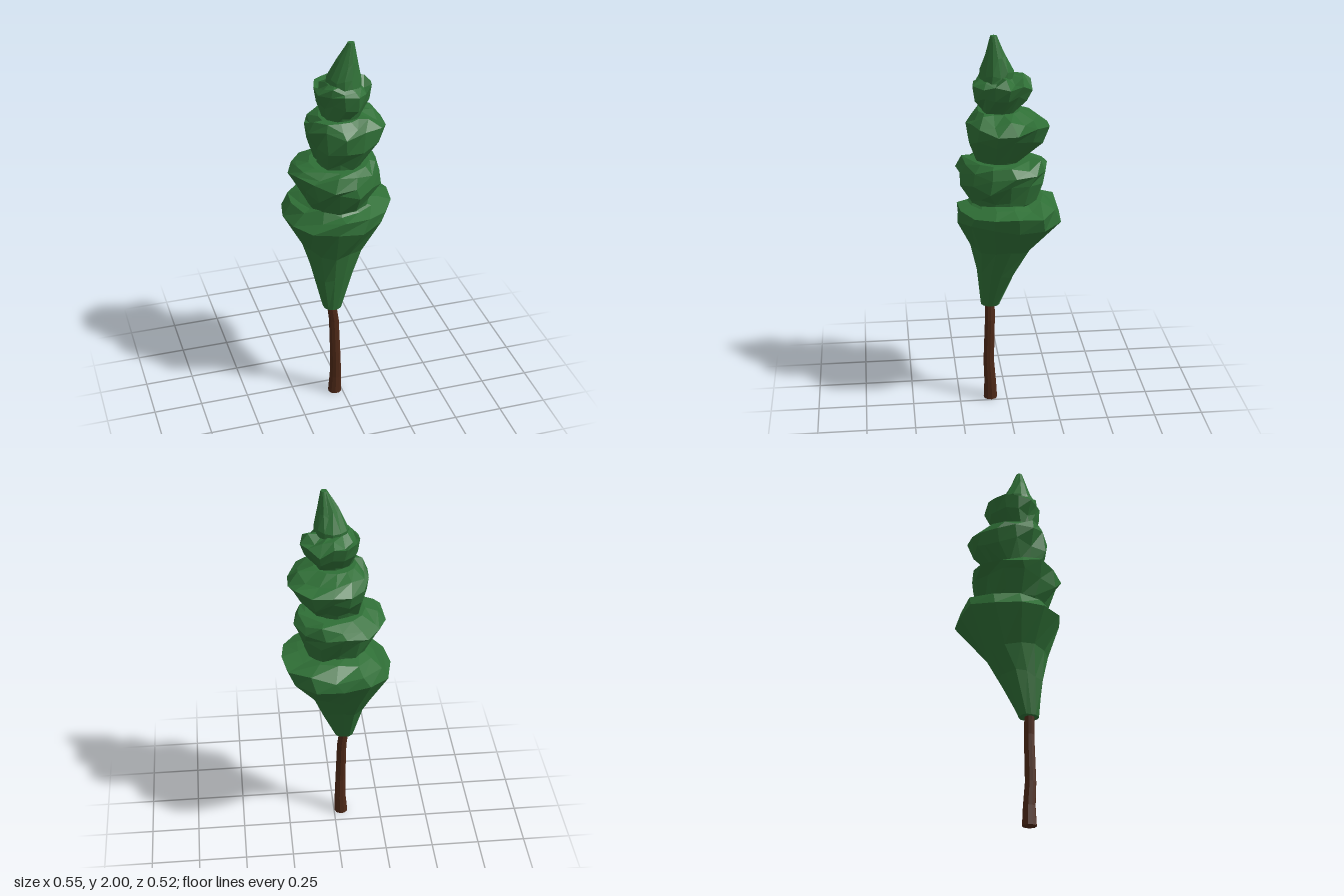
import * as THREE from 'three';

const leafMat = new THREE.MeshStandardMaterial({ color: 0x2f6f36, flatShading: true });
const barkMat = new THREE.MeshStandardMaterial({ color: 0x4d2817, flatShading: true });

// Seeded random numbers in -1..1
function seeded(seed) {
  let s = seed;
  return () => {
    s = (s * 16807) % 2147483647;
    return (s / 2147483647) * 2 - 1;
  };
}

// Skin stacked rings of equal point count and close both ends
function skin(rings) {
  const n = rings[0].length, pos = rings.flat(2), idx = [];
  for (let r = 0; r < rings.length - 1; r++) {
    for (let i = 0; i < n; i++) {
      const a = r * n + i, b = r * n + (i + 1) % n;
      idx.push(a, a + n, b, b, a + n, b + n);
    }
  }
  const cap = (ring, first, up) => {
    const c = pos.length / 3;
    pos.push(...[0, 1, 2].map(k => ring.reduce((s, p) => s + p[k], 0) / n));
    for (let i = 0; i < n; i++) {
      const a = first + i, b = first + (i + 1) % n;
      idx.push(c, up ? b : a, up ? a : b);
    }
  };
  cap(rings[0], 0, false);
  cap(rings[rings.length - 1], (rings.length - 1) * n, true);
  const g = new THREE.BufferGeometry();
  g.setAttribute('position', new THREE.Float32BufferAttribute(pos, 3));
  g.setIndex(idx);
  g.computeVertexNormals();
  return g;
}

// Plain ring of n points around (x, z)
function ring([y, x, z, r], n) {
  return Array.from({ length: n }, (_, i) => {
    const a = (i / n) * Math.PI * 2 - 0.15;
    return [x + r * Math.cos(a), y, z + r * Math.sin(a)];
  });
}

// Ragged ring that still reaches r from its centre on both axes; square pushes out the back corners
function raggedRing([y, x, z, r], rough, square, rand) {
  const pts = ring([0, 0, 0, 1], 13).map(([px, , pz]) => {
    const corner = pz < 0 ? (px < 0 ? 1 : 0.5) * square * (2 * px * pz) ** 2 : 0;
    const k = 1 + corner + rough * rand();
    return [px * k, y + rough * 0.3 * rand(), pz * k];
  });
  [[0, x], [2, z]].forEach(([axis, centre]) => {
    const v = pts.map(p => p[axis]), lo = Math.min(...v), hi = Math.max(...v);
    pts.forEach(p => { p[axis] = centre + r * (2 * (p[axis] - lo) / (hi - lo) - 1); });
  });
  return pts;
}

// Rings are [y, x, z, radius]
const trunkRings = [[0, -0.038, 0.087, 0.036], [0.1, -0.034, 0.088, 0.031], [0.22, -0.036, 0.095, 0.028],
  [0.46, -0.042, 0.087, 0.026], [0.6, -0.06, 0.085, 0.025]];

const skirtRings = [[0.55, -0.05, 0.085, 0.048], [0.75, -0.035, 0.05, 0.105], [0.89, -0.02, 0.025, 0.16],
  [1.06, -0.015, -0.005, 0.262], [1.12, 0.02, 0, 0.253], [1.15, 0, 0.01, 0.19], [1.17, 0, 0.04, 0.12]];

const peakRings = [[1.77, 0.015, 0.055, 0.085], [1.82, 0.015, 0.05, 0.083], [1.9, 0.033, 0.06, 0.052],
  [2, 0.048, 0.07, 0.016]];

// A tier swells from its neck to its rim and folds back: [height share, swell]
const swell = [[0, 0], [0.18, 0.15], [0.55, 0.8], [0.8, 1], [0.92, 0.6], [1, 0]];

function tierRings(yLow, yHigh, neck, rim) {
  return swell.map(([h, s]) =>
    [yLow + (yHigh - yLow) * h, ...neck.map((v, k) => v + (rim[k] - v) * s)]);
}

export function createModel() {
  const tree = new THREE.Group();
  tree.name = 'tree';

  // Crooked trunk
  const trunk = new THREE.Mesh(skin(trunkRings.map(r => ring(r, 10))), barkMat);
  trunk.name = 'trunk';
  tree.add(trunk);

  // Foliage: tall skirt, three ruffled tiers and a pointed top
  const foliage = new THREE.Group();
  foliage.name = 'foliage';
  tree.add(foliage);
  const rand = seeded(7919);
  const addFoliage = (name, rings, rough, square) => {
    const last = rings.length - 1;
    const skinRings = rings.map((r, i) => raggedRing(r, i % last ? rough : 0, square, rand));
    const mesh = new THREE.Mesh(skin(skinRings), leafMat);
    mesh.name = name;
    foliage.add(mesh);
  };
  addFoliage('lowestFoliage', skirtRings, 0.06, 0.18);
  addFoliage('secondFoliage', tierRings(1.13, 1.37, [0, 0.03, 0.15], [-0.02, 0.025, 0.23]), 0.08, 0);
  addFoliage('thirdFoliage', tierRings(1.33, 1.62, [0, 0.04, 0.105], [0.035, 0.005, 0.2]), 0.08, 0);
  addFoliage('fourthFoliage', tierRings(1.57, 1.8, [0, 0.05, 0.07], [0.025, 0.03, 0.145]), 0.08, 0);
  addFoliage('treetop', peakRings, 0.07, 0);
  return tree;
}
